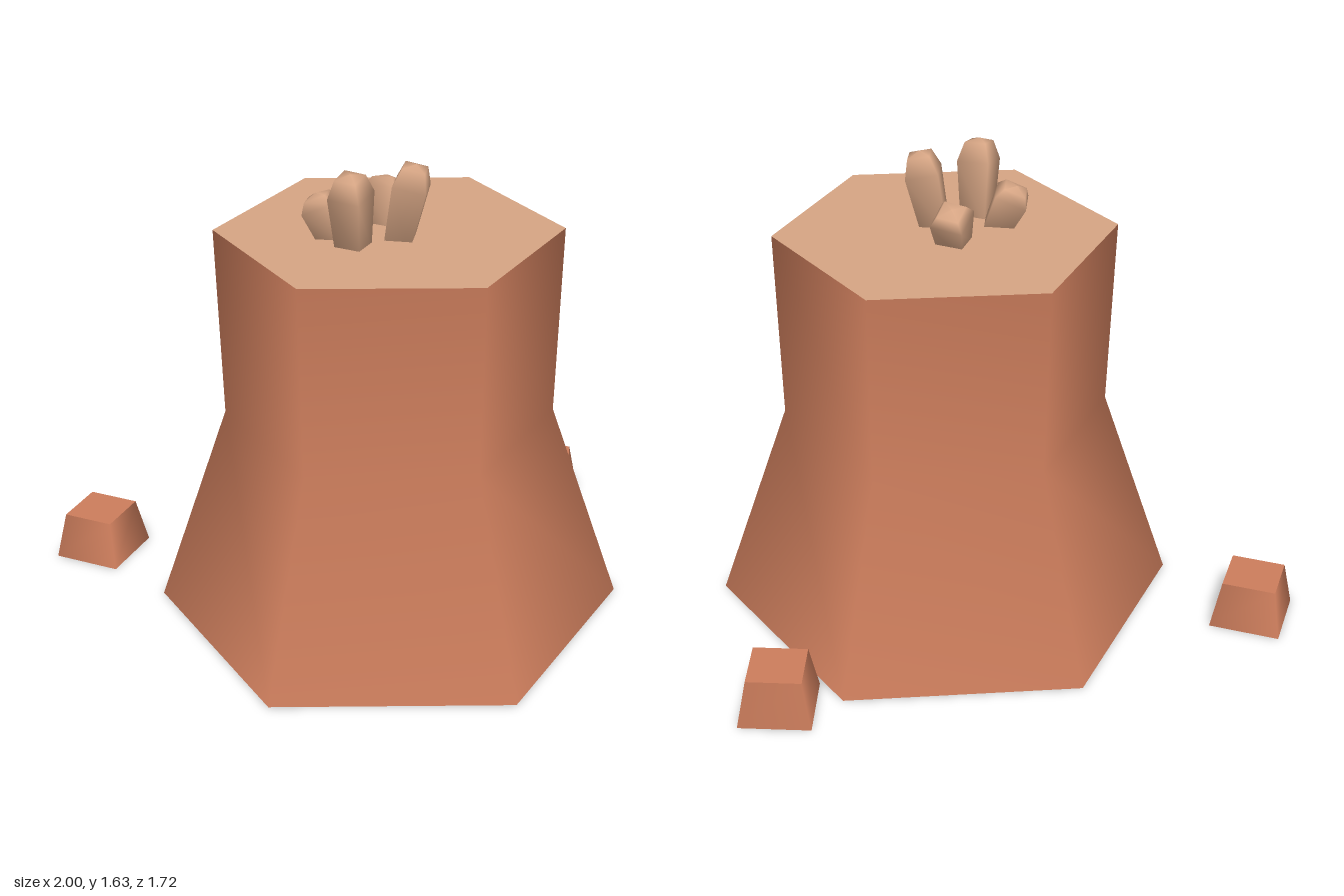
import * as THREE from 'three';

const V2 = (x, y) => new THREE.Vector2(x, y);

export function createModel() {
  const group = new THREE.Group();
  const bark = new THREE.MeshStandardMaterial({ name: 'bark', color: 0xcc7d5c });
  const wood = new THREE.MeshStandardMaterial({ name: 'paleWood', color: 0xd6a584 });

  const add = (parent, name, geometry, material) => {
    const mesh = new THREE.Mesh(geometry, material);
    mesh.name = name;
    parent.add(mesh);
    return mesh;
  };

  // Six-sided trunk: flared foot, nearly straight upper half
  const trunk = new THREE.Group();
  trunk.name = 'trunk';
  trunk.position.set(-0.03, 0, 0.06);
  trunk.rotation.y = 0.063;
  group.add(trunk);
  const topY = 1.375;
  add(trunk, 'trunkSide', new THREE.LatheGeometry([V2(0.8, 0), V2(0.555, 0.72), V2(0.572, topY)], 6), bark);
  // Caps: circle corners start on x, so turn them to match the lathe corners on z
  const cap = (radius, y, up) => new THREE.CircleGeometry(radius, 6, Math.PI / 2)
    .rotateX(up ? -Math.PI / 2 : Math.PI / 2).translate(0, y, 0);
  add(trunk, 'cutTop', cap(0.572, topY, true), wood);
  add(trunk, 'trunkBottom', cap(0.8, 0, false), bark);

  // Two root stubs beside the trunk
  for (const [x, z, turn] of [[-0.83, -0.695, -0.09], [0.828, -0.295, 0.19]]) {
    const stub = add(group, 'rootStub', new THREE.CylinderGeometry(0.13, 0.172, 0.165, 4), bark);
    stub.position.set(x, 0.0825, z);
    stub.rotation.y = turn;
  }

  // Four leaning sprouts on the cut top: base x, base z, tip x, tip z, height, spin
  const sprouts = [
    [-0.195, 0.13, -0.222, 0.165, 0.25, -0.15],
    [-0.03, 0.135, 0.008, 0.17, 0.25, 0.15],
    [-0.215, 0.025, -0.258, -0.022, 0.145, 0.15],
    [-0.01, -0.025, 0.033, -0.075, 0.145, -0.15],
  ];
  const up = new THREE.Vector3(0, 1, 0);
  for (const [bx, bz, tx, tz, h, spin] of sprouts) {
    const lean = new THREE.Vector3(tx - bx, h, tz - bz);
    const sink = 0.03;
    const profile = [V2(0, -sink), V2(0.06, -sink), V2(0.078, h * 0.72), V2(0.052, h - 0.008), V2(0, h + 0.004)];
    const sprout = add(group, 'sprout', new THREE.LatheGeometry(profile, 4).rotateY(spin), wood);
    sprout.position.set(bx, topY, bz);
    sprout.quaternion.setFromUnitVectors(up, lean.normalize());
  }
  return group;
}
